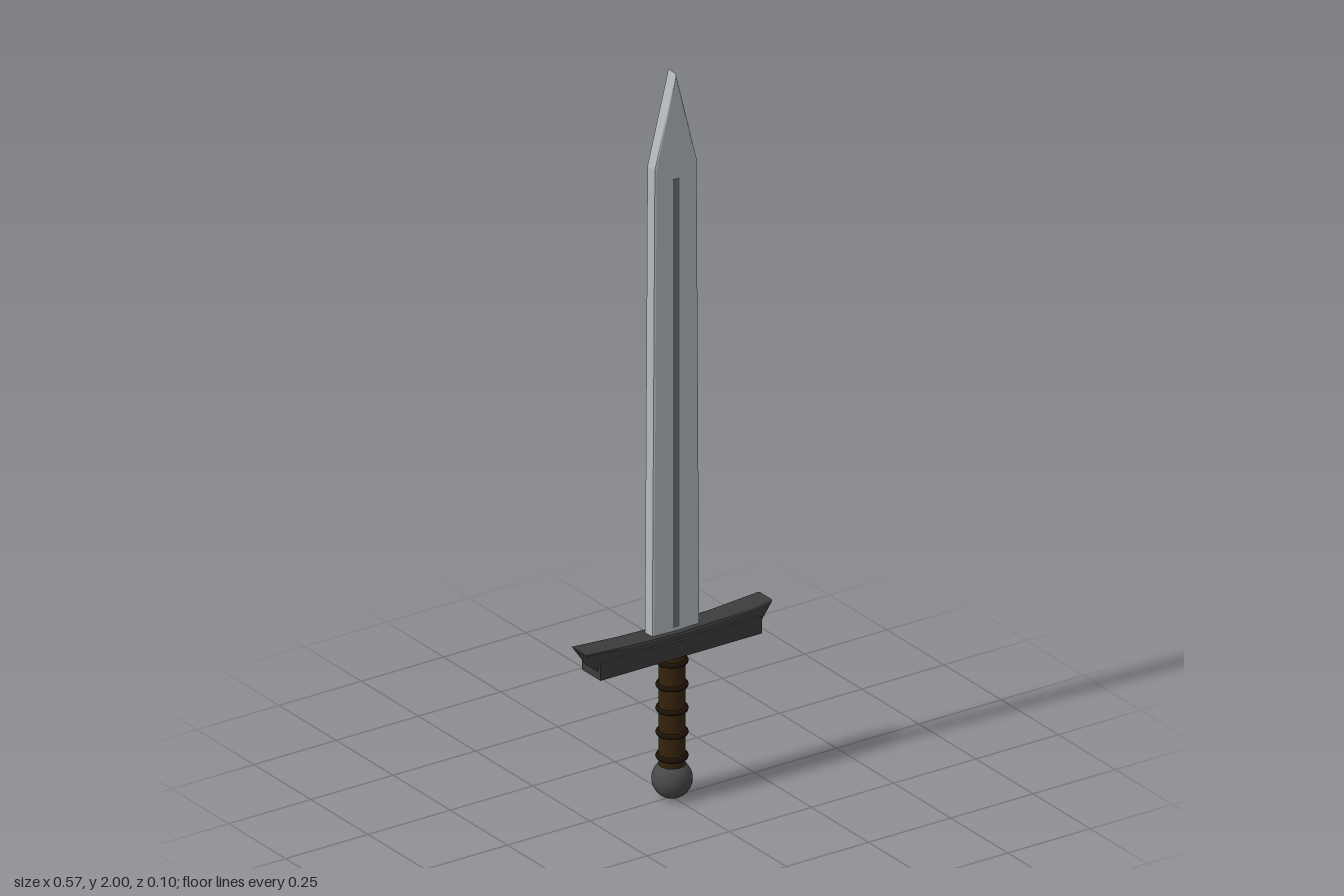
import * as THREE from 'three';

const mat = (name, color) => {
  const m = new THREE.MeshStandardMaterial({ color });
  m.name = name;
  return m;
};

// Bevelled plate from an outline in x/y, centred on z = 0
function plate(points, thickness, bevel) {
  const shape = new THREE.Shape(points.map(([x, y]) => new THREE.Vector2(x, y)));
  const geo = new THREE.ExtrudeGeometry(shape, {
    depth: thickness - 2 * bevel, bevelEnabled: true, bevelThickness: bevel,
    bevelSize: bevel, bevelOffset: -bevel, bevelSegments: 2, curveSegments: 1,
  });
  return geo.translate(0, 0, -thickness / 2 + bevel);
}

// Mirrors the right half of an outline (listed bottom to top) to the left
function mirrored(half) {
  const left = half.filter(([x]) => x > 0).map(([x, y]) => [-x, y]).reverse();
  return [...half, ...left];
}

export function createModel() {
  const steel = mat('steel', 0xb4bac0);
  const grooveSteel = mat('grooveSteel', 0x6a6e76);
  const iron = mat('iron', 0x3c3c3c);
  const pommelIron = mat('pommelIron', 0x48484a);
  const leather = mat('leather', 0x35230c);
  const cord = mat('cord', 0x1c1307);

  const sword = new THREE.Group();
  sword.name = 'sword';
  const add = (name, geo, material, x = 0, y = 0, z = 0) => {
    const mesh = new THREE.Mesh(geo, material);
    mesh.name = name;
    mesh.position.set(x, y, z);
    sword.add(mesh);
    return mesh;
  };

  // Blade: gently tapered with a long point
  add('blade', plate(mirrored([[0.073, 0.43], [0.065, 1.75], [0, 2]]), 0.036, 0.006), steel);

  // Dark central groove on both faces
  for (const s of [1, -1]) {
    add(s > 0 ? 'frontGroove' : 'backGroove',
      new THREE.BoxGeometry(0.02, 1.235, 0.003), grooveSteel, 0, 1.0925, s * 0.0178);
  }

  // Crossguard: flared bar with a dished top, and a thicker lower block
  add('guardBar', plate(mirrored([
    [0.243, 0.402], [0.243, 0.418], [0.285, 0.478], [0.14, 0.469], [0, 0.465],
  ]), 0.066, 0.006), iron);
  add('guardBlock', new THREE.BoxGeometry(0.49, 0.046, 0.08), iron, 0, 0.423);

  // Grip with five cord rings
  add('grip', new THREE.CylinderGeometry(0.034, 0.034, 0.33, 24), leather, 0, 0.245);
  for (let i = 0; i < 5; i++) {
    const ring = add('gripRing', new THREE.TorusGeometry(0.035, 0.007, 8, 28), cord, 0, 0.115 + i * 0.0655);
    ring.rotation.x = Math.PI / 2;
  }

  // Ball pommel
  add('pommel', new THREE.SphereGeometry(0.052, 28, 18), pommelIron, 0, 0.052);

  return sword;
}
